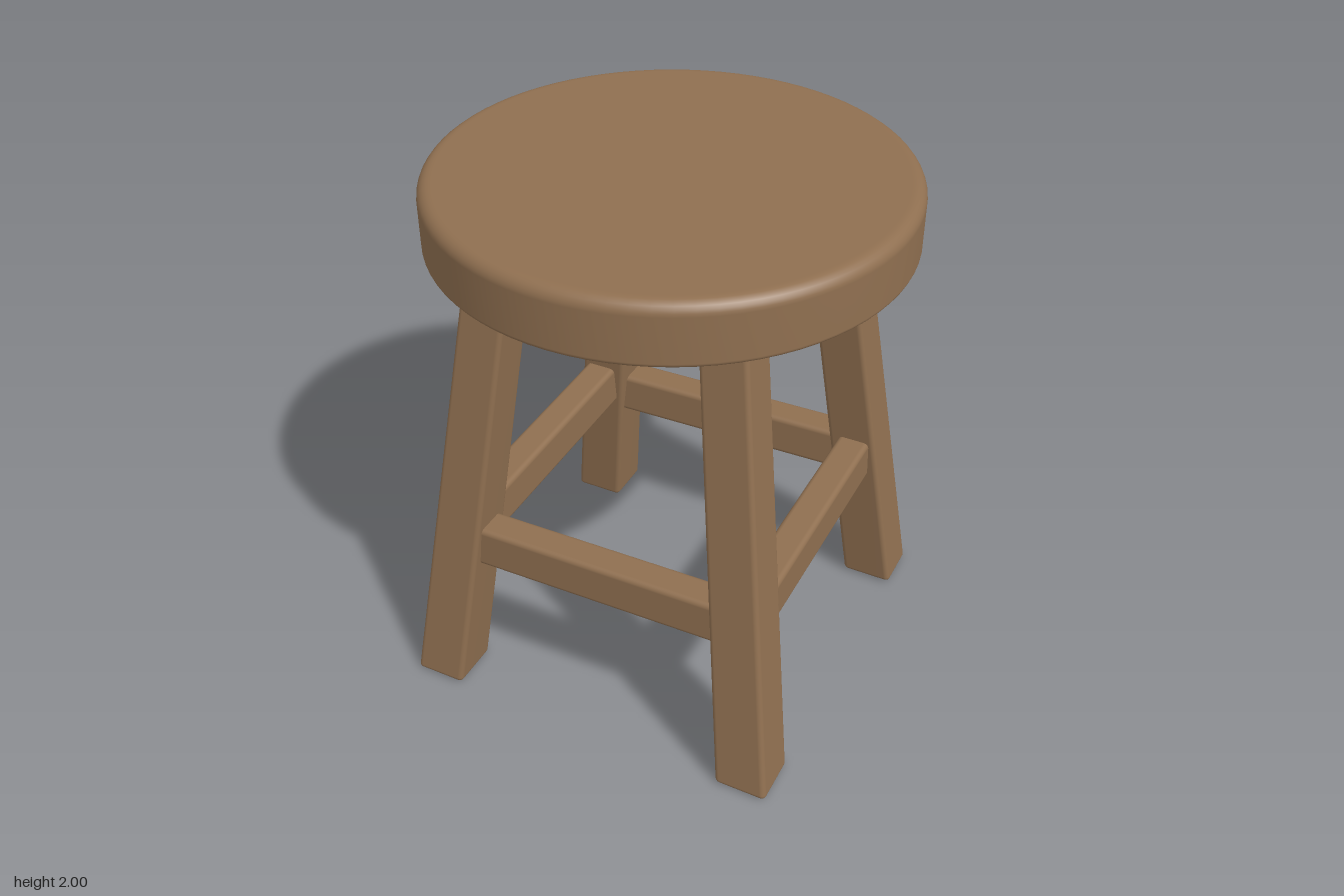
import * as THREE from 'three';
import { RoundedBoxGeometry } from 'three/addons/geometries/RoundedBoxGeometry.js';
import { mergeVertices } from 'three/addons/utils/BufferGeometryUtils.js';

const TOP = 1.82; // legs run slightly into the seat

// Leg centre offset and width at a given height
const legCentre = (y) => 0.642 - 0.122 * y;
const legWidth = (y) => 0.2 - 0.016 * y;

// Softly rounded seat disc
function seatGeometry() {
  const R = 0.845, low = 1.775, high = 2, rt = 0.045, rb = 0.018;
  const points = [new THREE.Vector2(0, low), new THREE.Vector2(R - rb - 0.01, low)];
  const arc = (r, cy, from, to) => {
    for (let i = 0; i <= 6; i++) {
      const a = from + (to - from) * i / 6;
      points.push(new THREE.Vector2(R - r + r * Math.cos(a), cy + r * Math.sin(a)));
    }
  };
  arc(rb, low + rb, -Math.PI / 2, 0);
  arc(rt, high - rt, 0, Math.PI / 2);
  points.push(new THREE.Vector2(R - rt - 0.01, high), new THREE.Vector2(0, high));
  return new THREE.LatheGeometry(points, 80);
}

// Square leg, tapered and splayed towards corner (sx, sz)
function legGeometry(sx, sz) {
  let g = new RoundedBoxGeometry(1, TOP, 1, 4, 0.02);
  const p = g.attributes.position;
  const inset = 0.02;
  g = new RoundedBoxGeometry(0.2, TOP, 0.2, 4, inset);
  const q = g.attributes.position;
  for (let i = 0; i < p.count; i++) {
    const y = q.getY(i) + TOP / 2;
    const k = legWidth(y) / 0.2;
    q.setXYZ(i, q.getX(i) * k + sx * legCentre(y), y, q.getZ(i) * k + sz * legCentre(y));
  }
  g.deleteAttribute('normal');
  g.deleteAttribute('uv');
  g = mergeVertices(g, 1e-4);
  g.computeVertexNormals();
  return g;
}

export function createModel() {
  const wood = new THREE.MeshStandardMaterial({ color: 0x8f6f50 });
  wood.name = 'brown wood';
  const model = new THREE.Group();
  model.name = 'stool';

  const add = (name, geometry) => {
    const mesh = new THREE.Mesh(geometry, wood);
    mesh.name = name;
    model.add(mesh);
    return mesh;
  };

  add('seat', seatGeometry());

  // Four splayed legs
  for (const [sx, side] of [[-1, 'Right'], [1, 'Left']]) {
    for (const [sz, end] of [[1, 'front'], [-1, 'back']]) {
      add(`${end}${side}Leg`, legGeometry(sx, sz));
    }
  }

  // Four rails between the legs, each very slightly out of level
  const rails = [
    { name: 'frontRail', turn: 0, y: 0.645, tilt: 0.018 },
    { name: 'leftRail', turn: Math.PI / 2, y: 0.66, tilt: 0.008 },
    { name: 'backRail', turn: Math.PI, y: 0.62, tilt: -0.022 },
    { name: 'rightRail', turn: -Math.PI / 2, y: 0.664, tilt: -0.008 },
  ];
  for (const { name, turn, y, tilt } of rails) {
    const c = legCentre(y);
    const rail = add(name, new RoundedBoxGeometry(2 * c, 0.17, 0.125, 3, 0.02));
    rail.rotation.set(0, turn, tilt);
    rail.position.set(Math.sin(turn) * c, y, Math.cos(turn) * c);
  }
  return model;
}
